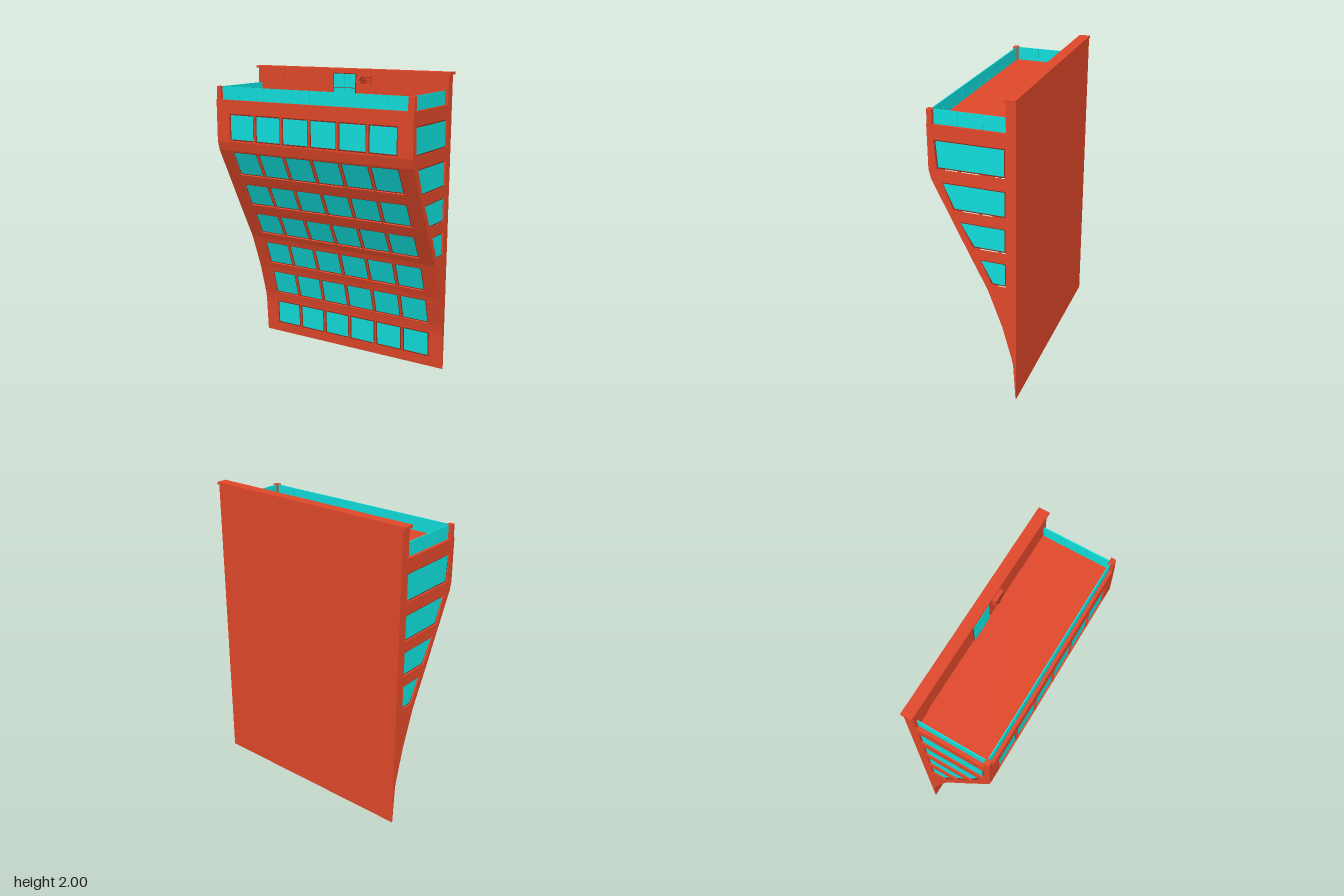
import * as THREE from 'three';

const red = new THREE.MeshStandardMaterial({ color: 0xe0482a, flatShading: true });
const cyan = new THREE.MeshStandardMaterial({ color: 0x10dedc, flatShading: true });
const dark = new THREE.MeshStandardMaterial({ color: 0x8a2c1a, flatShading: true });

// Front face outline as [y, z]; each window row sits in one facet
const PROFILE = [[0, -0.266], [0.26, -0.25], [0.31, -0.24], [0.53, -0.18], [0.78, -0.088],
  [1.02, 0.035], [1.245, 0.147], [1.46, 0.255], [1.52, 0.27], [1.8, 0.27]];
const ROWS = [[0.07, 0.25], [0.32, 0.5], [0.57, 0.745], [0.82, 0.98], [1.05, 1.21], [1.28, 1.45], [1.53, 1.71]];
// Side windows: bottom y, top y, front z at bottom, front z at top
const SIDE_WINDOWS = [[0.82, 0.98, -0.11, -0.035], [1.05, 1.21, 0.005, 0.09],
  [1.28, 1.45, 0.125, 0.195], [1.53, 1.71, 0.22, 0.23]];
const HALF = 0.73, SKIN = 0.012, FRAME = 0.009;

const poly = (pts) => pts.map(([x, y]) => new THREE.Vector2(x, y));

function add(parent, name, geometry, material) {
  const mesh = new THREE.Mesh(geometry, material);
  mesh.name = name;
  parent.add(mesh);
  return mesh;
}

// Box given by its minimum and maximum corners
function box(parent, name, a, b, material = red) {
  const mesh = add(parent, name, new THREE.BoxGeometry(b[0] - a[0], b[1] - a[1], b[2] - a[2]), material);
  mesh.position.set((a[0] + b[0]) / 2, (a[1] + b[1]) / 2, (a[2] + b[2]) / 2);
  return mesh;
}

// Flat wall with recessed, framed windows; outer face at z = 0, facing +z
function windowWall(name, outline, windows, depth) {
  const wall = new THREE.Group();
  wall.name = name;
  const shape = new THREE.Shape(poly(outline));
  windows.forEach((w) => shape.holes.push(new THREE.Path(poly(w))));
  add(wall, 'wallPanel', new THREE.ExtrudeGeometry(shape, { depth, bevelEnabled: false }), red).position.z = -depth;
  for (const w of windows) {
    const cx = w.reduce((s, p) => s + p[0], 0) / w.length;
    const cy = w.reduce((s, p) => s + p[1], 0) / w.length;
    const inset = w.map(([x, y]) => [x - Math.sign(x - cx) * FRAME, y - Math.sign(y - cy) * FRAME]);
    add(wall, 'windowFrame', new THREE.ShapeGeometry(new THREE.Shape(poly(w))), dark).position.z = -depth * 0.9;
    add(wall, 'windowGlass', new THREE.ShapeGeometry(new THREE.Shape(poly(inset))), cyan).position.z = -depth * 0.6;
  }
  return wall;
}

function buildFront() {
  const front = new THREE.Group();
  front.name = 'frontFacade';
  const w = HALF - SKIN;
  for (let i = 0; i < PROFILE.length - 1; i++) {
    const [y0, z0] = PROFILE[i], [y1, z1] = PROFILE[i + 1];
    const len = Math.hypot(y1 - y0, z1 - z0), k = len / (y1 - y0);
    const windows = [];
    const row = ROWS.find(([a, b]) => a >= y0 && b <= y1);
    if (row) {
      const b = (row[0] - y0) * k, t = (row[1] - y0) * k;
      for (let c = 0; c < 6; c++) {
        const x = (c - 2.5) * 0.211;
        windows.push([[x - 0.1, b], [x + 0.1, b], [x + 0.1, t], [x - 0.1, t]]);
      }
    }
    const facet = windowWall('facadeFacet', [[-w, 0], [w, 0], [w, len], [-w, len]], windows, i === 0 ? 0.004 : SKIN);
    facet.position.set(0, y0, z0);
    facet.rotation.x = Math.atan2(z1 - z0, y1 - y0);
    front.add(facet);
  }
  return front;
}

// Side wall; s = 1 for +x, -1 for -x
function buildSide(s) {
  const outline = PROFILE.map(([y, z]) => [-s * z, y]);
  outline.push([s * 0.27, 1.8], [s * 0.27, 0]);
  const windows = SIDE_WINDOWS.map(([b, t, zb, zt]) =>
    [[s * 0.205, b], [-s * zb, b], [-s * zt, t], [s * 0.205, t]]);
  const side = windowWall(s > 0 ? 'leftWall' : 'rightWall', outline, windows, SKIN);
  side.rotation.y = s * Math.PI / 2;
  side.position.x = s * HALF;
  return side;
}

function buildTerrace() {
  const terrace = new THREE.Group();
  terrace.name = 'terrace';
  box(terrace, 'terraceFloor', [-0.725, 1.78, -0.265], [0.725, 1.797, 0.265]);
  // Glass railing panels
  for (let i = 0; i < 10; i++) {
    const x = -0.692 + i * 0.1384;
    box(terrace, 'frontRailGlass', [x + 0.001, 1.797, 0.243], [x + 0.1374, 1.885, 0.25], cyan);
  }
  for (const s of [-1, 1]) {
    for (let i = 0; i < 3; i++) {
      const z = -0.21 + i * 0.148, x = s * 0.704;
      box(terrace, 'sideRailGlass', [x - 0.0035, 1.797, z + 0.001], [x + 0.0035, 1.885, z + 0.147], cyan);
    }
    // Corner post with its outer edge cut off
    const post = new THREE.Shape(poly([[s * 0.692, -0.235], [s * 0.73, -0.235], [s * 0.73, -0.262],
      [s * 0.722, -0.27], [s * 0.692, -0.27]]));
    const mesh = add(terrace, 'cornerPost', new THREE.ExtrudeGeometry(post, { depth: 0.09, bevelEnabled: false }), red);
    mesh.rotation.x = -Math.PI / 2;
    mesh.position.y = 1.797;
  }
  return terrace;
}

function buildBack() {
  const back = new THREE.Group();
  back.name = 'backWall';
  box(back, 'backPanel', [-HALF, 0, -0.27], [HALF, 1.8, -0.267]);
  box(back, 'parapet', [-HALF, 1.79, -0.27], [HALF, 1.99, -0.21]);
  box(back, 'parapetCap', [-0.745, 1.984, -0.272], [0.745, 2, -0.2]);
  // Stepped raised panel on the parapet
  const step = new THREE.Shape(poly([[-0.729, 1.797], [-0.6, 1.797], [-0.6, 1.88], [-0.51, 1.88], [-0.51, 1.984], [-0.729, 1.984]]));
  add(back, 'steppedPanel', new THREE.ExtrudeGeometry(step, { depth: 0.005, bevelEnabled: false }), red).position.z = -0.21;
  // Double door
  box(back, 'doorFrame', [-0.107, 1.797, -0.211], [0.067, 1.97, -0.206], dark);
  for (const x of [-0.102, -0.018]) {
    box(back, 'doorGlassLower', [x, 1.8, -0.208], [x + 0.08, 1.872, -0.203], cyan);
    box(back, 'doorGlassUpper', [x, 1.876, -0.208], [x + 0.08, 1.965, -0.203], cyan);
  }
  // Air conditioner with round fan grille
  box(back, 'airConditioner', [0.102, 1.902, -0.211], [0.186, 1.96, -0.182]);
  const fan = add(back, 'fanGrille', new THREE.TorusGeometry(0.02, 0.004, 6, 20), dark);
  fan.position.set(0.134, 1.931, -0.18);
  const hub = add(back, 'fanHub', new THREE.CylinderGeometry(0.008, 0.008, 0.008, 12), dark);
  hub.rotation.x = Math.PI / 2;
  hub.position.set(0.134, 1.931, -0.18);
  for (let i = 0; i < 3; i++) {
    const y = 1.916 + i * 0.014;
    box(back, 'ventSlat', [0.162, y, -0.183], [0.181, y + 0.004, -0.179], dark);
  }
  return back;
}

export function createModel() {
  const model = new THREE.Group();
  model.name = 'curvedBuilding';
  model.add(buildFront(), buildSide(1), buildSide(-1), buildTerrace(), buildBack());
  return model;
}
